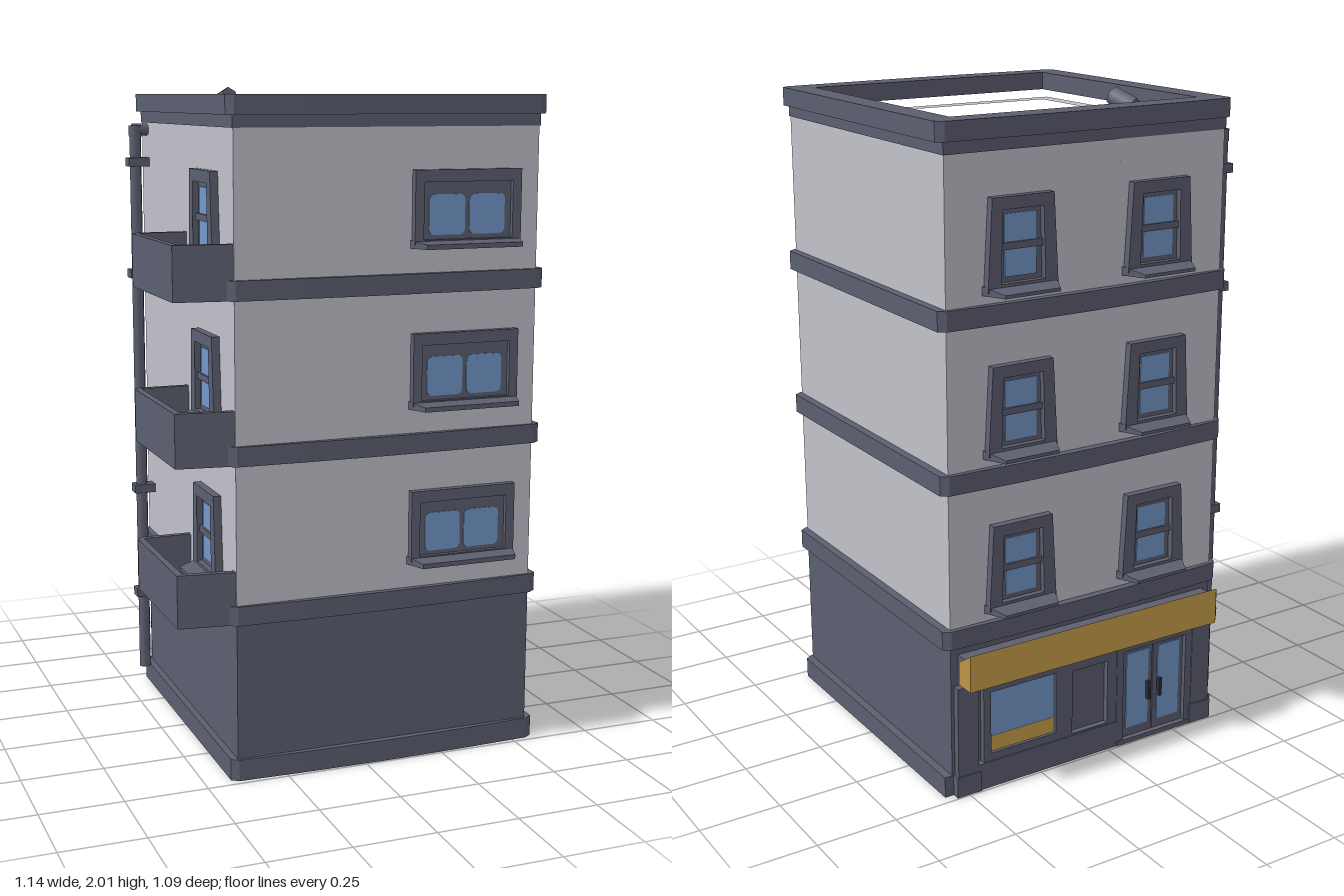
import * as THREE from 'three';

const mat = (name, color) => Object.assign(new THREE.MeshStandardMaterial({ color }), { name });

export function createModel() {
  const model = new THREE.Group();
  model.name = 'building';
  const trim = mat('slate trim', 0x5c5f70);
  const wall = mat('pale wall', 0xc2c1ca);
  const glass = mat('blue glass', 0x7398cb);
  const gold = mat('gold sign', 0xcba04a);
  const dark = mat('dark handle', 0x2e303a);

  const add = (parent, name, geo, material, x = 0, y = 0, z = 0) => {
    const m = new THREE.Mesh(geo, material);
    m.name = name;
    m.position.set(x, y, z);
    parent.add(m);
    return m;
  };
  // box given by its limits
  const block = (parent, name, material, x0, x1, y0, y1, z0, z1) =>
    add(parent, name, new THREE.BoxGeometry(x1 - x0, y1 - y0, z1 - z0), material,
      (x0 + x1) / 2, (y0 + y1) / 2, (z0 + z1) / 2);
  // box whose +z face has its own size and vertical offset
  const taper = (w0, h0, w1, h1, d, dy = 0) => {
    const g = new THREE.BoxGeometry(1, 1, d);
    const p = g.attributes.position;
    for (let i = 0; i < p.count; i++) {
      const f = p.getZ(i) > 0;
      p.setXYZ(i, p.getX(i) * (f ? w1 : w0), p.getY(i) * (f ? h1 : h0) + (f ? dy : 0), p.getZ(i) + d / 2);
    }
    g.computeVertexNormals();
    return g;
  };
  const toShape = (pts) => new THREE.Shape(pts.map(([a, b]) => new THREE.Vector2(a, b)));
  const extrude = (pts, hole, depth) => {
    const s = toShape(pts);
    if (hole) s.holes.push(toShape(hole));
    return new THREE.ExtrudeGeometry(s, { depth, bevelEnabled: false });
  };
  // plan outline [x, z] raised from y0 to y1
  const raise = (name, material, pts, y0, y1, hole) => {
    const flip = (a) => a && a.map(([x, z]) => [x, -z]);
    return add(model, name, extrude(flip(pts), flip(hole), y1 - y0).rotateX(-Math.PI / 2), material, 0, y0, 0);
  };
  const rect = (x0, x1, z0, z1) => [[x0, z0], [x1, z0], [x1, z1], [x0, z1]];
  const roundRect = (w, h, r) => {
    const s = new THREE.Shape(), x = w / 2, y = h / 2;
    s.absarc(x - r, y - r, r, 0, Math.PI / 2);
    s.absarc(-x + r, y - r, r, Math.PI / 2, Math.PI);
    s.absarc(-x + r, -y + r, r, Math.PI, Math.PI * 1.5);
    s.absarc(x - r, -y + r, r, Math.PI * 1.5, Math.PI * 2);
    return new THREE.ExtrudeGeometry(s, { depth: 0.004, bevelEnabled: false, curveSegments: 3 });
  };

  // bands bow gently outward at front and back, with chamfered corners
  const bow = [[-0.42, 0.468], [-0.398, 0.483], [-0.18, 0.491], [0.075, 0.495],
    [0.33, 0.491], [0.548, 0.483], [0.57, 0.468]];
  const bandPlan = [...bow, ...bow.slice().reverse().map(([x, z]) => [x, -z])];
  const basePlan = [...bow, [0.57, -0.472], [-0.42, -0.472]];
  const body = rect(-0.4, 0.545, -0.47, 0.475);
  const well = rect(-0.34, 0.49, -0.41, 0.41);

  // main volumes
  raise('base', trim, basePlan, 0, 0.065);
  raise('groundFloor', trim, body, 0.06, 0.48);
  raise('upperWalls', wall, body, 0.53, 1.83);
  raise('parapetWall', wall, body, 1.83, 1.895, rect(-0.35, 0.5, -0.42, 0.42));
  raise('parapetLining', trim, rect(-0.351, 0.501, -0.421, 0.421), 1.83, 1.93, well);
  raise('cornice', trim, bandPlan, 1.93, 1.985, well);
  raise('corniceNeck', trim, rect(-0.403, 0.548, -0.473, 0.478), 1.895, 1.935, well);
  raise('roof', trim, rect(-0.345, 0.495, -0.415, 0.415), 1.825, 1.84);

  // wide window facing +z, origin at sill bottom on the wall
  const wideWindow = () => {
    const g = new THREE.Group();
    g.name = 'wideWindow';
    add(g, 'frame', extrude(rect(-0.17, 0.17, 0.01, 0.225), rect(-0.142, 0.142, 0.025, 0.19), 0.022), trim);
    block(g, 'sash', trim, -0.142, 0.142, 0.025, 0.19, 0, 0.008);
    for (const s of [-1, 1]) add(g, 'pane', roundRect(0.114, 0.117, 0.017), glass, s * 0.064, 0.096, 0.007);
    add(g, 'sill', taper(0.35, 0.024, 0.305, 0.014, 0.07, -0.004), trim, 0, 0.012, 0);
    return g;
  };
  // tall sash window with a flared surround
  const tallWindow = () => {
    const g = new THREE.Group();
    g.name = 'tallWindow';
    add(g, 'frame', extrude([[-0.115, 0.01], [0.115, 0.01], [0.1, 0.27], [-0.1, 0.27]],
      [[-0.072, 0.03], [0.072, 0.03], [0.066, 0.235], [-0.066, 0.235]], 0.024), trim);
    block(g, 'sash', trim, -0.072, 0.072, 0.03, 0.235, 0, 0.006);
    block(g, 'lowerPane', glass, -0.052, 0.052, 0.045, 0.122, 0.005, 0.009);
    block(g, 'upperPane', glass, -0.052, 0.052, 0.142, 0.22, 0.005, 0.009);
    block(g, 'meetingRail', trim, -0.07, 0.07, 0.122, 0.142, 0, 0.015);
    add(g, 'sill', taper(0.24, 0.026, 0.18, 0.01, 0.073, -0.007), trim, 0, 0.013, 0);
    return g;
  };
  const place = (g, x, y, z, turn) => {
    g.position.set(x, y, z);
    g.rotation.y = turn;
    model.add(g);
  };

  // three upper storeys
  for (const y of [0.475, 0.946, 1.418]) {
    raise('floorBand', trim, bandPlan, y, y + 0.058);
    place(wideWindow(), 0.31, y + 0.13, 0.475, 0);
    for (const x of [-0.16, 0.31]) place(tallWindow(), x, y + 0.084, -0.47, Math.PI);
    place(tallWindow(), -0.4, y + 0.084, 0.235, -Math.PI / 2);
    raise('balconyWall', trim, [[-0.4, 0], [-0.55, 0], [-0.57, 0.02], [-0.57, 0.447], [-0.4, 0.47],
      [-0.4, 0.45], [-0.55, 0.43], [-0.55, 0.02], [-0.4, 0.02]], y, y + 0.159);
    raise('balconyFloor', trim, rect(-0.555, -0.4, 0.01, 0.435), y, y + 0.025);
  }

  // shopfront, built facing +z and turned to the back wall (local x is mirrored)
  const shop = new THREE.Group();
  shop.name = 'shopfront';
  place(shop, 0, 0, -0.47, Math.PI);
  const pillar = (x0, x1) => {
    block(shop, 'pillar', trim, x0, x1, 0, 0.345, 0, 0.022);
    block(shop, 'pillarFoot', trim, x0 - 0.006, x1 + 0.006, 0, 0.065, 0, 0.026);
  };
  pillar(-0.535, -0.465);
  pillar(0.325, 0.395);
  block(shop, 'lintel', trim, -0.535, 0.395, 0.33, 0.352, 0, 0.024);
  block(shop, 'stallRiser', trim, -0.465, 0.035, 0, 0.085, 0, 0.022);
  add(shop, 'displayFrame', extrude(rect(-0.445, -0.165, 0.085, 0.33), rect(-0.42, -0.19, 0.11, 0.31), 0.018), trim);
  block(shop, 'displayGlass', glass, -0.42, -0.19, 0.16, 0.31, 0, 0.007);
  block(shop, 'displayStripe', gold, -0.42, -0.19, 0.11, 0.16, 0, 0.008);
  add(shop, 'panelFrame', extrude(rect(-0.165, 0.035, 0.03, 0.33), rect(-0.13, 0.0, 0.09, 0.3), 0.018), trim);
  add(shop, 'doorFrame', extrude(rect(0.035, 0.325, 0.005, 0.33), rect(0.06, 0.3, 0.015, 0.315), 0.02), trim);
  block(shop, 'doorSill', trim, 0.035, 0.325, 0, 0.015, 0, 0.025);
  for (const s of [-1, 1]) {
    const x = 0.18 + s * 0.06;
    block(shop, 'door', trim, x - 0.058, x + 0.058, 0.015, 0.315, 0, 0.008);
    block(shop, 'doorGlass', glass, x - 0.042, x + 0.042, 0.045, 0.3, 0.006, 0.011);
    block(shop, 'doorHandle', dark, 0.18 + s * 0.022 - 0.005, 0.18 + s * 0.022 + 0.005, 0.13, 0.19, 0.01, 0.024);
  }
  block(shop, 'signMount', trim, -0.52, 0.37, 0.383, 0.45, 0, 0.05);
  add(shop, 'sign', taper(0.94, 0.07, 0.895, 0.115, 0.026), gold, -0.0755, 0.417, 0.049);

  // downpipe with elbow and brackets
  const pipeX = -0.44, pipeZ = -0.41;
  add(model, 'downpipe', new THREE.CylinderGeometry(0.019, 0.019, 1.795, 8), trim, pipeX, 0.9625, pipeZ);
  add(model, 'pipeJoint', new THREE.CylinderGeometry(0.021, 0.021, 0.036, 8), trim, pipeX, 1.868, pipeZ);
  add(model, 'pipeElbow', new THREE.CylinderGeometry(0.019, 0.019, 0.06, 8).rotateZ(Math.PI / 2), trim, -0.42, 1.873, pipeZ);
  for (const y of [0.33, 0.69, 1.41, 1.77])
    block(model, 'pipeBracket', trim, -0.468, -0.398, y - 0.014, y + 0.014, pipeZ - 0.023, pipeZ + 0.023);

  // roof vent with a tilted cowl
  add(model, 'ventPipe', new THREE.CylinderGeometry(0.026, 0.026, 0.13, 6), trim, -0.2, 1.9, -0.255);
  const cowl = add(model, 'ventCowl', new THREE.CylinderGeometry(0.03, 0.03, 0.08, 6), trim, -0.195, 1.965, -0.247);
  cowl.rotation.set(1.2, 0.35, 0, 'YXZ');
  return model;
}
